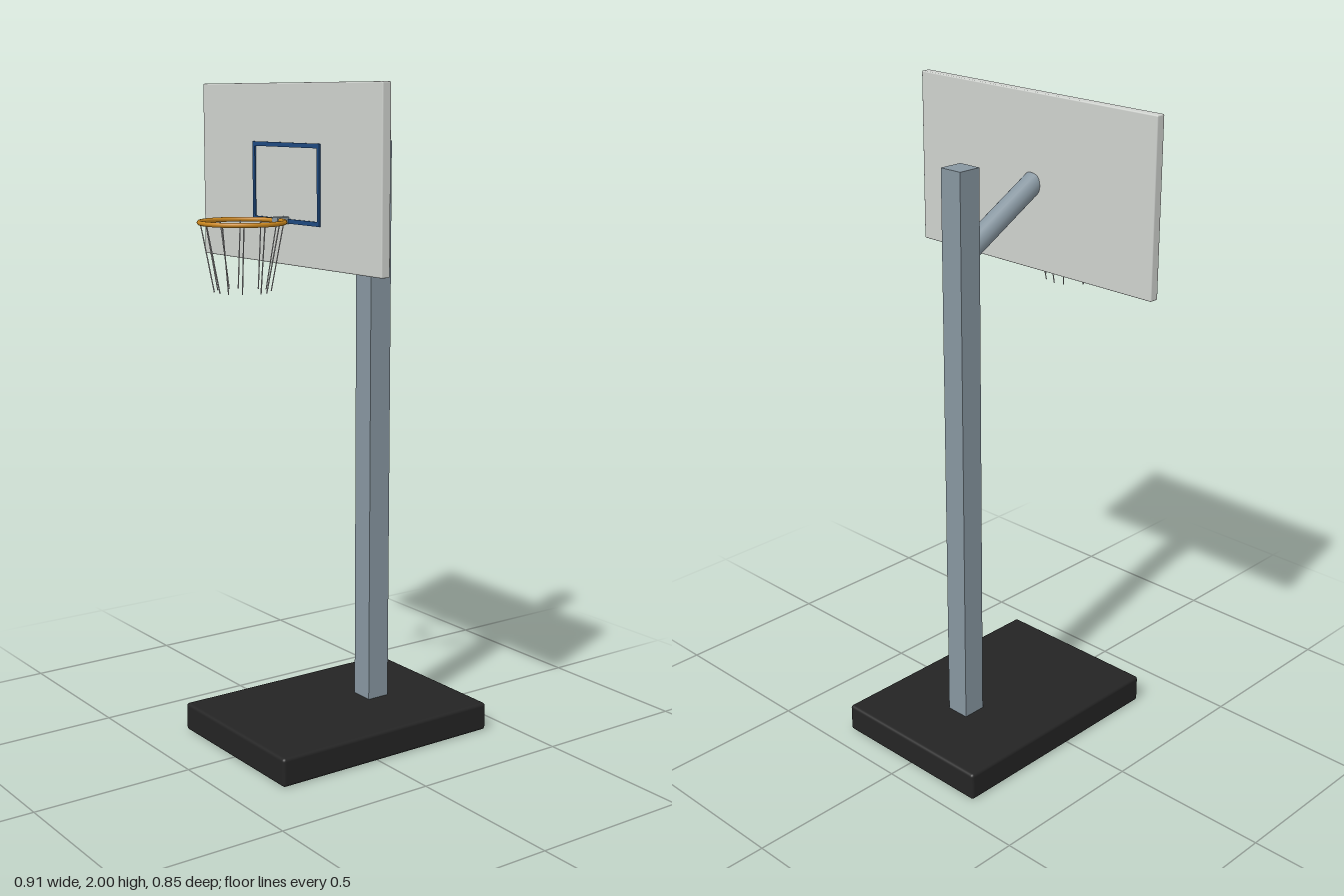
import * as THREE from 'three';
import { RoundedBoxGeometry } from 'three/addons/geometries/RoundedBoxGeometry.js';

const material = (name, color, side = THREE.FrontSide) => {
  const m = new THREE.MeshStandardMaterial({ color, side });
  m.name = name;
  return m;
};

export function createModel() {
  const steel = material('greySteel', 0x8796a0);
  const black = material('blackBase', 0x242424);
  const panel = material('paleBoard', 0xcfd2ce);
  const blue = material('blueMarking', 0x1f4a80);
  const orange = material('orangeRim', 0xcc881f);
  const cord = material('netCord', 0xc8c8c8);

  const model = new THREE.Group();
  model.name = 'basketballHoop';
  const add = (name, geometry, mat, x, y, z, parent = model) => {
    const mesh = new THREE.Mesh(geometry, mat);
    mesh.name = name;
    mesh.position.set(x, y, z);
    parent.add(mesh);
    return mesh;
  };
  // Cylinder running from point a to point b
  const rod = (name, a, b, radius, sides, mat, parent) => {
    const dir = b.clone().sub(a);
    const mid = a.clone().add(b).multiplyScalar(0.5);
    const geometry = new THREE.CylinderGeometry(radius, radius, dir.length(), sides);
    const mesh = add(name, geometry, mat, mid.x, mid.y, mid.z, parent);
    mesh.quaternion.setFromUnitVectors(new THREE.Vector3(0, 1, 0), dir.normalize());
    return mesh;
  };

  // Base, post and sloping arm
  add('base', new RoundedBoxGeometry(0.55, 0.088, 0.768, 3, 0.01), black, 0, 0.046, -0.04);
  add('post', new THREE.BoxGeometry(0.075, 1.75, 0.075), steel, 0, 0.958, -0.178);
  rod('arm', new THREE.Vector3(0, 1.579, -0.17), new THREE.Vector3(0, 1.74, 0.122), 0.033, 24, steel);

  // Backboard with its target rectangle
  add('backboard', new RoundedBoxGeometry(0.91, 0.52, 0.03, 2, 0.004), panel, 0, 1.74, 0.125);
  const target = new THREE.Group();
  target.name = 'targetRectangle';
  model.add(target);
  for (const y of [1.607, 1.825])
    add('targetBar', new THREE.BoxGeometry(0.342, 0.013, 0.006), blue, 0, y, 0.141, target);
  for (const x of [-0.165, 0.165])
    add('targetSide', new THREE.BoxGeometry(0.012, 0.218, 0.006), blue, x, 1.716, 0.141, target);

  // Rim and bracket
  const rimY = 1.61, rimZ = 0.292;
  add('rim', new THREE.TorusGeometry(0.122, 0.007, 10, 48), orange, 0, rimY, rimZ).rotation.x = Math.PI / 2;
  add('rimBracket', new THREE.BoxGeometry(0.028, 0.02, 0.042), steel, 0, rimY, 0.159);

  // Net cords, narrowing downwards with a slight irregular sway
  const net = new THREE.Group();
  net.name = 'net';
  model.add(net);
  const count = 12;
  for (let i = 0; i < count; i++) {
    const a = (i / count) * Math.PI * 2;
    const b = a + 0.12 * Math.sin(i * 2.4 + 1);
    const top = new THREE.Vector3(Math.sin(a) * 0.119, rimY, rimZ + Math.cos(a) * 0.119);
    const bottom = new THREE.Vector3(Math.sin(b) * 0.082, 1.412, rimZ + Math.cos(b) * 0.082);
    rod('netCord', top, bottom, 0.0018, 6, cord, net);
  }

  return model;
}
